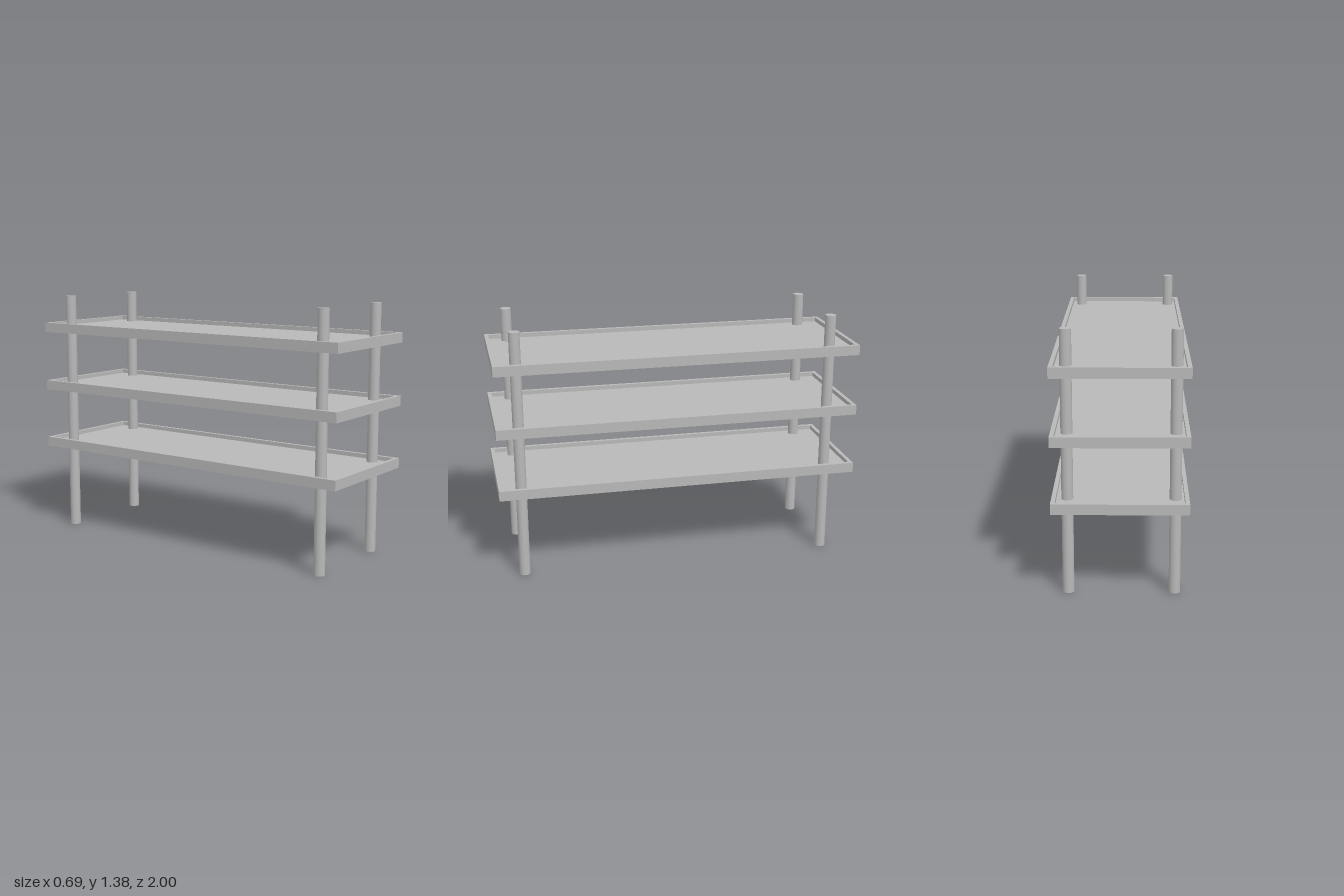
import * as THREE from 'three';

const WIDTH = 0.69, LENGTH = 2, HEIGHT = 0.055; // outer tray size
const RIM = 0.022, FLOOR = 0.032; // rim width, floor thickness

// Rectangular outline centred on the origin
function rectangle(Type, w, l) {
  return new Type([
    new THREE.Vector2(-w / 2, -l / 2), new THREE.Vector2(w / 2, -l / 2),
    new THREE.Vector2(w / 2, l / 2), new THREE.Vector2(-w / 2, l / 2),
  ]);
}

export function createModel() {
  const model = new THREE.Group();
  model.name = 'shelfRack';
  const grey = new THREE.MeshStandardMaterial({ color: 0xb8b8b8 });
  grey.name = 'grey';

  // Raised frame around each tray, with the floor set inside it
  const outline = rectangle(THREE.Shape, WIDTH, LENGTH);
  outline.holes.push(rectangle(THREE.Path, WIDTH - 2 * RIM, LENGTH - 2 * RIM));
  const rimGeometry = new THREE.ExtrudeGeometry(outline, { depth: HEIGHT, bevelEnabled: false });
  rimGeometry.rotateX(-Math.PI / 2);
  const floorGeometry = new THREE.BoxGeometry(WIDTH - 2 * RIM, FLOOR, LENGTH - 2 * RIM);
  floorGeometry.translate(0, FLOOR / 2, 0);

  // Three identical trays
  ['lower', 'middle', 'upper'].forEach((level, i) => {
    const shelf = new THREE.Group();
    shelf.name = level + 'Shelf';
    const rim = new THREE.Mesh(rimGeometry, grey);
    rim.name = 'shelfRim';
    const floor = new THREE.Mesh(floorGeometry, grey);
    floor.name = 'shelfFloor';
    shelf.add(rim, floor);
    shelf.position.y = 0.474 + i * 0.345;
    model.add(shelf);
  });

  // Four round posts passing through the trays, slightly off centre
  const postGeometry = new THREE.CylinderGeometry(0.03, 0.03, 1.38, 32);
  for (const [side, x] of [['Left', 0.268], ['Right', -0.278]]) {
    for (const [end, z] of [['front', 0.876], ['back', -0.85]]) {
      const post = new THREE.Mesh(postGeometry, grey);
      post.name = end + side + 'Post';
      post.position.set(x, 0.69, z);
      model.add(post);
    }
  }
  return model;
}
